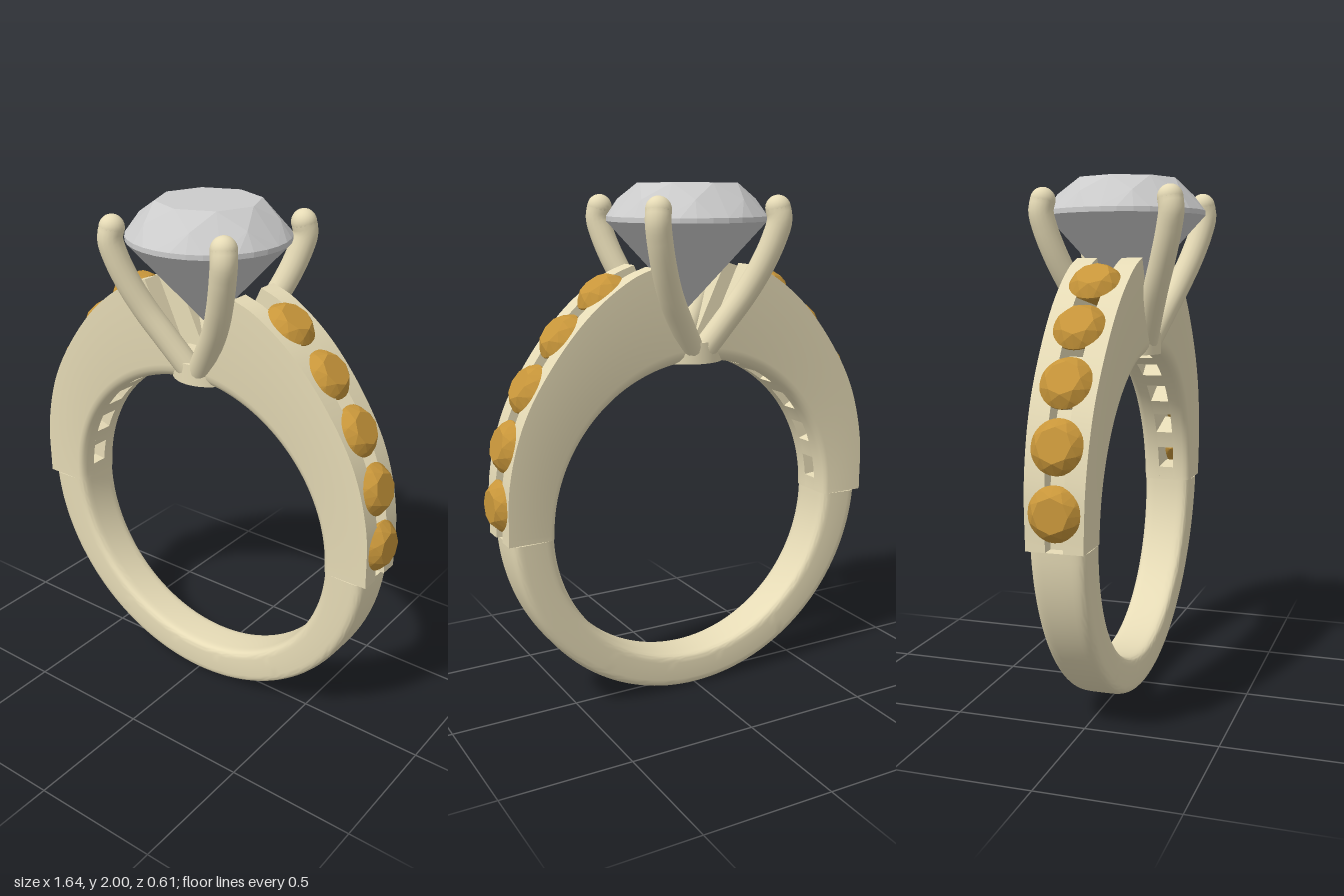
import * as THREE from 'three';
import { toCreasedNormals } from 'three/addons/utils/BufferGeometryUtils.js';
import { ConvexGeometry } from 'three/addons/geometries/ConvexGeometry.js';

const metal = new THREE.MeshStandardMaterial({ color: 0xe6dbb6 });
const clear = new THREE.MeshStandardMaterial({ color: 0xcccccc });
const amber = new THREE.MeshStandardMaterial({ color: 0xc8963a });

const HOLE_Y = 0.745, HOLE_R = 0.6, END_ANGLE = 1.52, START_ANGLE = -0.025;
const V = (x, y, z) => new THREE.Vector3(x, y, z);

// Outer edge of one shoulder, from the side of the ring up to the setting
const shoulder = new THREE.CatmullRomCurve3([
  [0.785, 0.73], [0.775, 0.96], [0.715, 1.18], [0.605, 1.37],
  [0.45, 1.55], [0.29, 1.665], [0.2, 1.7],
].map(([x, y]) => V(x, y, 0)));

// The ring gets wider towards the top
const halfWidth = (y) => 0.085 + 0.024 * y;
const slotHalf = (t) => 0.032 + 0.016 * t;

// Skin over a row of closed rings, with both ends capped
function loft(rings) {
  const n = rings[0].length, last = (rings.length - 1) * n, index = [];
  for (let i = 0; i < rings.length - 1; i++) {
    for (let j = 0; j < n; j++) {
      const a = i * n + j, b = i * n + (j + 1) % n;
      index.push(a, b, a + n, b, b + n, a + n);
    }
  }
  for (let j = 1; j < n - 1; j++) {
    index.push(0, j + 1, j, last, last + j, last + j + 1);
  }
  const geometry = new THREE.BufferGeometry().setFromPoints(rings.flat());
  geometry.setIndex(index);
  return toCreasedNormals(geometry, 0.65);
}

// Point in a shoulder: t along it, s from the finger hole (0) to the outer edge (1)
function shoulderPoint(t, s) {
  const a = THREE.MathUtils.lerp(START_ANGLE, END_ANGLE, t);
  const inner = V(HOLE_R * Math.cos(a), HOLE_Y + HOLE_R * Math.sin(a), 0);
  return inner.lerp(shoulder.getPointAt(t), s);
}

// Sweep a section along part of a shoulder, mirrored by sx and sz
function shoulderSweep(t0, t1, steps, section, sx, sz) {
  const rings = [];
  for (let i = 0; i <= steps; i++) {
    const t = t0 + (t1 - t0) * i / steps;
    const ring = section(t).map(([s, z]) => {
      const p = shoulderPoint(t, s);
      return V(p.x * sx, p.y, (typeof z === 'function' ? z(p.y) : z) * sz);
    });
    rings.push(sx * sz < 0 ? ring.reverse() : ring);
  }
  return loft(rings);
}

// Round brilliant cut with its girdle at y = 0 and its table facing up
function brilliant(r) {
  const pts = [V(0, -1.12 * r, 0)];
  const ring = (count, radius, y, turn = 0) => {
    for (let i = 0; i < count; i++) {
      const a = (i + turn) / count * Math.PI * 2;
      pts.push(V(radius * r * Math.cos(a), y * r, radius * r * Math.sin(a)));
    }
  };
  ring(8, 0.64, 0.43);
  ring(8, 0.86, 0.235, 0.5);
  ring(32, 1, 0.03);
  ring(32, 1, -0.03);
  ring(8, 0.22, -0.885);
  return new ConvexGeometry(pts);
}

export function createModel() {
  const group = new THREE.Group();
  const add = (name, geometry, material = metal) => {
    const mesh = new THREE.Mesh(geometry, material);
    mesh.name = name;
    group.add(mesh);
    return mesh;
  };

  // Lower band: rounded section, thinner at the bottom
  const soft = (v) => Math.sign(v) * Math.abs(v) ** 0.36;
  const bandRings = [];
  for (let i = 0; i <= 72; i++) {
    const a = Math.PI - START_ANGLE + (Math.PI + 2 * START_ANGLE) * i / 72;
    const outer = 0.77 + 0.03 * Math.sin(a);
    const ring = [];
    for (let j = 0; j < 40; j++) {
      const f = j / 40 * Math.PI * 2;
      const r = (outer + HOLE_R) / 2 + (outer - HOLE_R) / 2 * soft(Math.cos(f));
      const y = HOLE_Y + r * Math.sin(a);
      ring.push(V(r * Math.cos(a), y, -halfWidth(y) * soft(Math.sin(f))));
    }
    bandRings.push(ring);
  }
  add('lowerBand', loft(bandRings));

  // Shoulder rails with a softened inner edge and an open slot between them
  const railSection = (t) => {
    const edge = (inset) => (y) => halfWidth(y) - inset;
    return [[0, slotHalf(t)], [0, edge(0.03)], [0.025, edge(0.014)], [0.07, edge(0.004)],
      [0.13, edge(0)], [1, edge(0)], [1, slotHalf(t)]];
  };
  // Bars across the slot, leaving a window under each stone
  const barSection = (t) => {
    const z = slotHalf(t);
    return [[0, -z], [0, z], [0.72, z], [0.72, -z]];
  };
  const bars = [[0, 0.06], [0.16, 0.24], [0.34, 0.42], [0.525, 0.605], [0.71, 0.79]];

  for (const sx of [1, -1]) {
    const side = sx > 0 ? 'left' : 'right';
    for (const sz of [1, -1]) {
      add(`${side}${sz > 0 ? 'Front' : 'Back'}Rail`,
        shoulderSweep(0, 1, 48, railSection, sx, sz));
    }
    for (const [t0, t1] of bars) {
      add(`${side}SlotBar`, shoulderSweep(t0, t1, 4, barSection, sx, 1));
    }
    // Five side stones facing outward along the shoulder
    for (let i = 0; i < 5; i++) {
      const t = 0.108 + 0.184 * i;
      const p = shoulder.getPointAt(t), d = shoulder.getTangentAt(t);
      const normal = V(d.y * sx, -d.x, 0);
      const stone = add(`${side}SideStone`, brilliant(0.096), amber);
      stone.position.set(p.x * sx, p.y, 0).addScaledVector(normal, -0.007);
      stone.quaternion.setFromUnitVectors(V(0, 1, 0), normal);
    }
  }

  // Round base of the setting
  add('settingBase', new THREE.CylinderGeometry(0.137, 0.137, 0.08, 48))
    .position.y = 1.377;

  // Four curved prongs with round tips
  for (const sx of [1, -1]) {
    for (const sz of [1, -1]) {
      const path = new THREE.CatmullRomCurve3([
        [0.03, 1.39, 0.09], [0.1, 1.5, 0.13], [0.16, 1.6, 0.168], [0.205, 1.7, 0.205],
        [0.238, 1.8, 0.235], [0.252, 1.87, 0.248], [0.247, 1.91, 0.242],
      ].map(([x, y, z]) => V(x * sx, y, z * sz)));
      add('prong', new THREE.TubeGeometry(path, 32, 0.047, 16));
      add('prongTip', new THREE.SphereGeometry(0.047, 20, 14))
        .position.copy(path.getPoint(1));
    }
  }

  // Centre stone
  add('centreStone', brilliant(0.303), clear).position.y = 1.87;

  return group;
}
